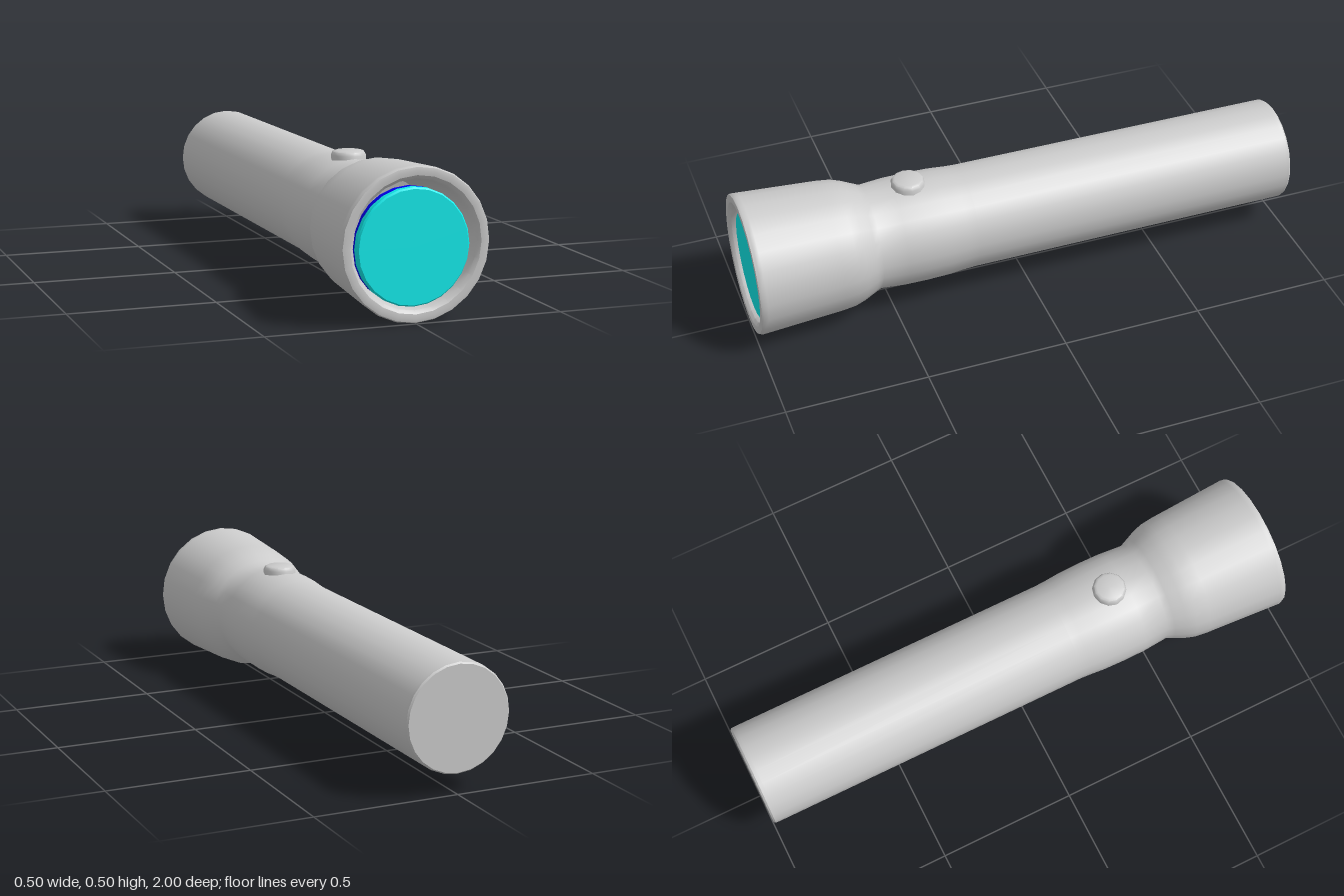
import * as THREE from 'three';
import { toCreasedNormals } from 'three/addons/utils/BufferGeometryUtils.js';

const AXIS_Y = 0.251;

function part(name, geometry, color = 0xcccccc, crease = 0.6) {
  const mesh = new THREE.Mesh(
    toCreasedNormals(geometry, crease),
    new THREE.MeshStandardMaterial({ color })
  );
  mesh.name = name;
  return mesh;
}

// Profile of [radius, z] pairs turned around the z axis
function turned(profile, segments = 24) {
  const points = profile.map(([r, z]) => new THREE.Vector2(r, z));
  return new THREE.LatheGeometry(points, segments).rotateX(Math.PI / 2);
}

export function createModel() {
  const flashlight = new THREE.Group();
  flashlight.name = 'flashlight';

  // Handle, collar, flared head, rounded rim and hollow reflector in one skin
  const body = part('body', turned([
    [0, -1], [0.178, -1], [0.183, -0.994], [0.184, -0.98],
    [0.185, 0.2], [0.187, 0.24], [0.192, 0.3], [0.194, 0.38], [0.193, 0.46], [0.186, 0.55],
    [0.197, 0.575], [0.215, 0.615], [0.226, 0.65], [0.232, 0.7],
    [0.249, 0.975], [0.25, 0.99], [0.246, 0.998], [0.235, 1], [0.22, 0.998], [0.209, 0.988], [0.204, 0.97],
    [0.2, 0.9], [0.17, 0.7], [0, 0.66]
  ]));
  body.position.y = AXIS_Y;
  flashlight.add(body);

  // Lens with a small bevel, and its backing disc
  const lens = part('lens', turned([
    [0, 0.95], [0.19, 0.95], [0.19, 0.972], [0.185, 0.978], [0, 0.978]
  ]), 0x11eeee);
  const backing = part('lensBacking', turned([
    [0, 0.92], [0.188, 0.92], [0.188, 0.95], [0, 0.95]
  ]), 0x0000ee);
  for (const mesh of [lens, backing]) {
    mesh.position.y = AXIS_Y - 0.011;
    flashlight.add(mesh);
  }

  // Push button on top of the collar
  const button = part('button', new THREE.LatheGeometry(
    [[0.06, 0], [0.06, 0.041], [0.054, 0.052], [0.045, 0.056], [0, 0.056]]
      .map(([r, y]) => new THREE.Vector2(r, y)), 12), 0xcccccc, 0.7);
  button.position.set(0, 0.411, 0.4);
  flashlight.add(button);

  return flashlight;
}
